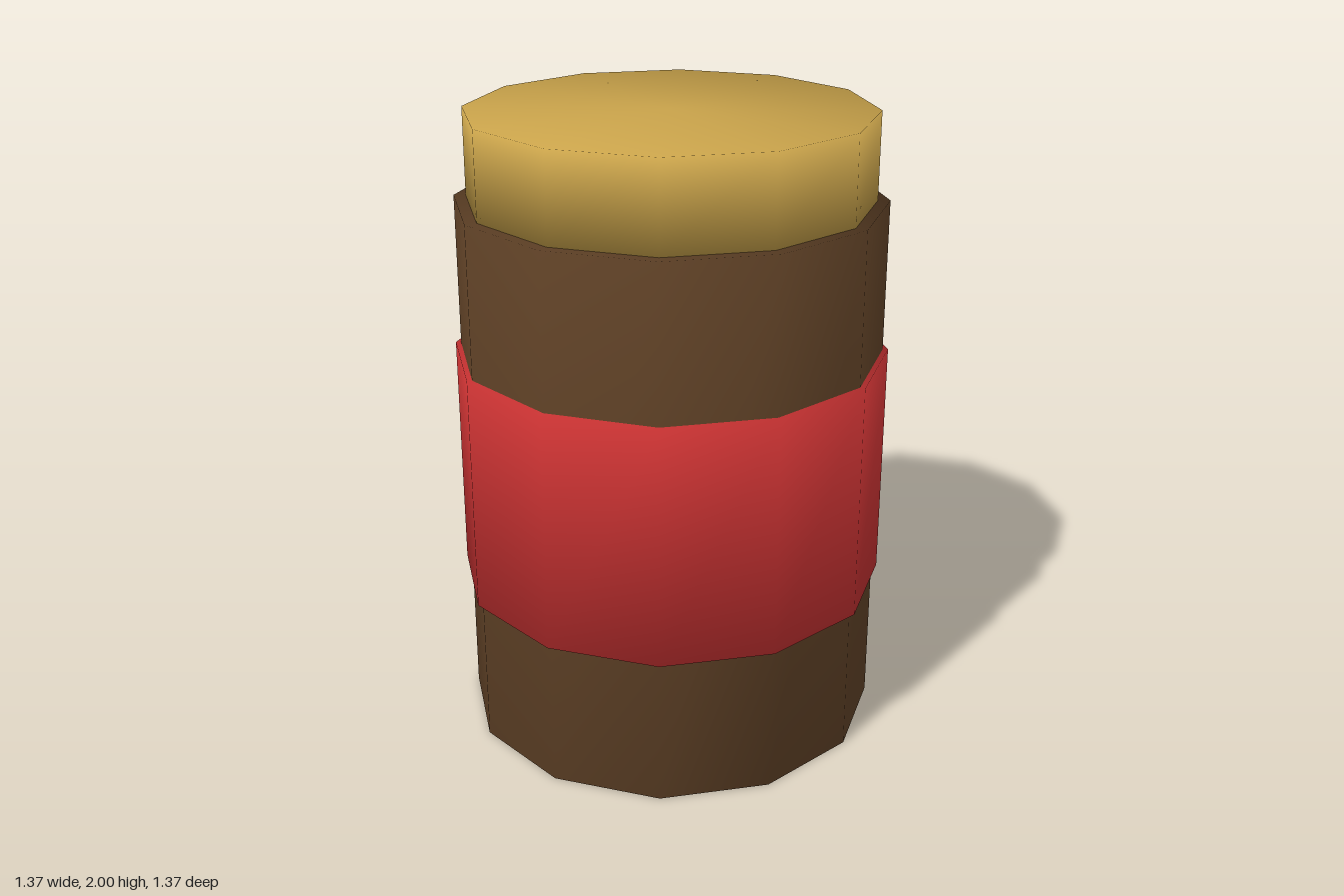
import * as THREE from 'three';
import { mergeVertices } from 'three/addons/utils/BufferGeometryUtils.js';

// Closed twelve-sided drum with normals blended softly across its rims
function drum(name, radius, bottom, top, material) {
  const geometry = new THREE.CylinderGeometry(radius, radius, top - bottom, 12);
  geometry.deleteAttribute('normal');
  geometry.deleteAttribute('uv');
  const smooth = mergeVertices(geometry);
  smooth.computeVertexNormals();
  const mesh = new THREE.Mesh(smooth, material);
  mesh.name = name;
  mesh.position.y = (bottom + top) / 2;
  return mesh;
}

function paint(name, color) {
  const material = new THREE.MeshStandardMaterial({ color });
  material.name = name;
  return material;
}

export function createModel() {
  const model = new THREE.Group();
  model.name = 'canister';
  model.add(
    drum('body', 0.67, 0, 1.725, paint('brown', 0x5f4126)),
    drum('labelBand', 0.687, 0.48, 1.243, paint('red', 0xc83232)),
    drum('lid', 0.632, 1.725, 2, paint('gold', 0xc8a24a)),
  );
  return model;
}
